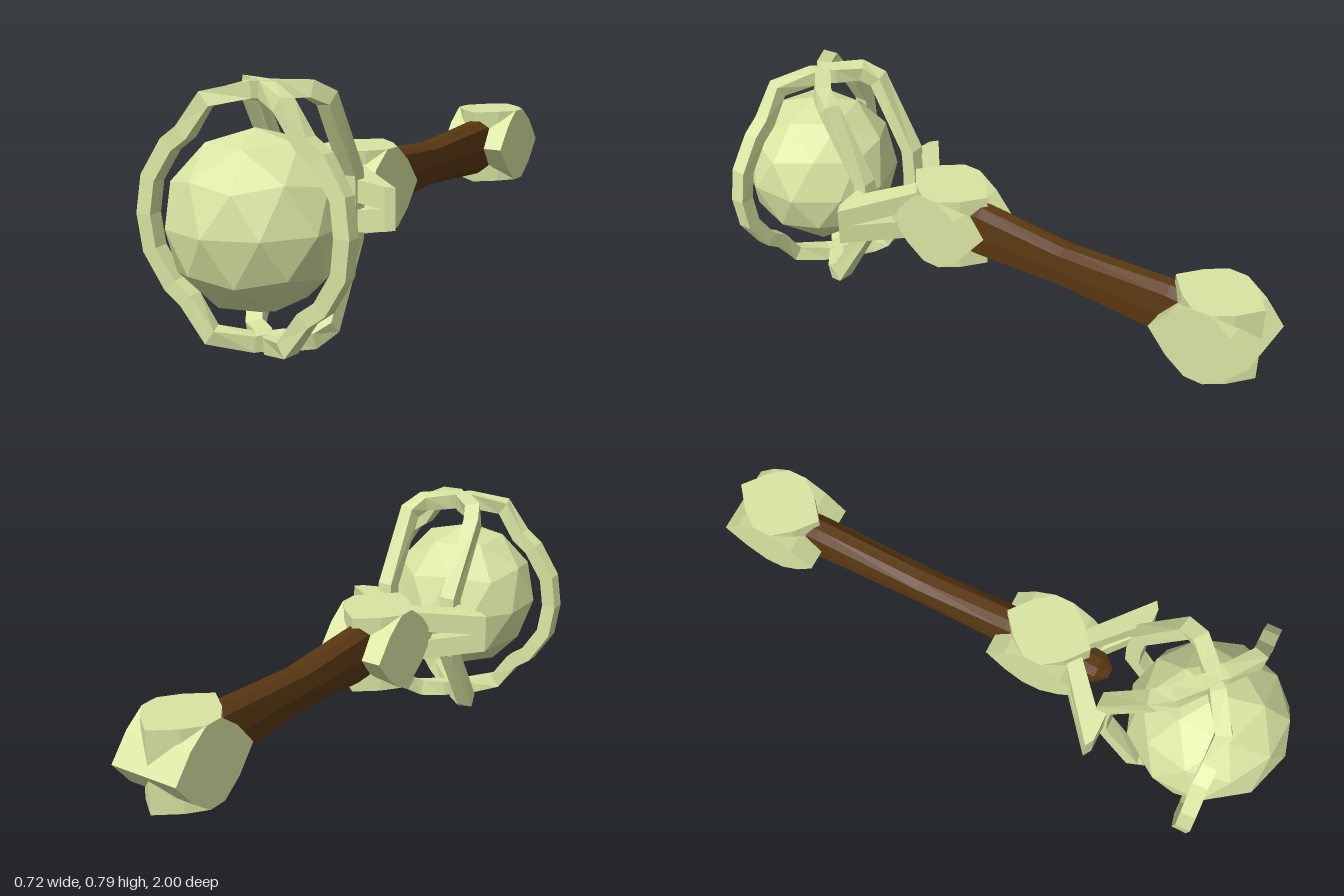
import * as THREE from 'three';

const MID = 0.4; // height of the long axis
const pale = new THREE.MeshStandardMaterial({ color: 0xd9e5a2, flatShading: true });
const brown = new THREE.MeshStandardMaterial({ color: 0x5a3812, flatShading: true });

function add(parent, name, geometry, material) {
  const mesh = new THREE.Mesh(geometry, material);
  mesh.name = name;
  parent.add(mesh);
  return mesh;
}

// Skin over equal-sized rings of points, each running counter-clockwise about the path
function loft(rings, closed) {
  const n = rings[0].length, index = [];
  const spans = closed ? rings.length : rings.length - 1;
  for (let i = 0; i < spans; i++) {
    const j = (i + 1) % rings.length;
    for (let k = 0; k < n; k++) {
      const m = (k + 1) % n;
      const a = i * n + k, b = i * n + m, c = j * n + m, d = j * n + k;
      index.push(a, b, c, a, c, d);
    }
  }
  if (!closed) {
    const last = (rings.length - 1) * n;
    for (let k = 1; k < n - 1; k++) index.push(0, k + 1, k, last, last + k, last + k + 1);
  }
  const g = new THREE.BufferGeometry().setFromPoints(rings.flat());
  g.setIndex(index);
  g.computeVertexNormals();
  return g;
}

// Closed square-section hoop from one quarter (x >= 0, upper half);
// outward(p) gives the direction its outer face should look
function hoop(quarter, half, outward) {
  const q = quarter.map(p => new THREE.Vector3(...p));
  const flipY = q.slice(0, -1).reverse().map(p => new THREE.Vector3(p.x, 2 * MID - p.y, p.z));
  const right = [...q, ...flipY];
  const left = right.slice(1, -1).reverse().map(p => new THREE.Vector3(-p.x, p.y, p.z));
  const path = [...right, ...left], N = path.length;
  const rings = path.map((p, i) => {
    const before = p.clone().sub(path[(i + N - 1) % N]).normalize();
    const after = path[(i + 1) % N].clone().sub(p).normalize();
    const t = before.add(after).normalize();
    const n = outward(p);
    n.addScaledVector(t, -n.dot(t)).normalize();
    const b = t.clone().cross(n);
    return [[1, 1], [-1, 1], [-1, -1], [1, -1]].map(([u, v]) =>
      p.clone().addScaledVector(n, u * half).addScaledVector(b, v * half));
  });
  return loft(rings, true);
}

// Pointed, almond-like prism: length along shape x, width along shape y
function almond(L, W, depth) {
  const upper = [[L, 0], [0.6 * L, 0.62 * W], [0.2 * L, W], [-0.2 * L, W], [-0.6 * L, 0.62 * W]];
  const pts = [...upper, ...upper.map(([x, y]) => [-x, -y])].map(p => new THREE.Vector2(...p));
  const g = new THREE.ExtrudeGeometry(new THREE.Shape(pts), { depth, bevelEnabled: false });
  return g.translate(0, 0, -depth / 2).rotateY(-Math.PI / 2);
}

// Knob made of two almond prisms crossing at right angles
function knob(name, z) {
  const group = new THREE.Group();
  group.name = name;
  add(group, 'uprightPrism', almond(0.167, 0.13, 0.236), pale);
  add(group, 'flatPrism', almond(0.148, 0.118, 0.262).rotateZ(Math.PI / 2), pale);
  group.position.set(0, MID, z);
  return group;
}

// Bent prong from the front knob out to a tip and back to the cage
function prong(side, up) {
  const outline = [[0.02, 0.24], [0.06, 0.25], [0.273, 0.42], [0.245, 0.437],
    [0.13, 0.437], [0.13, 0.4], [0.15, 0.4], [0.02, 0.285]];
  const shape = new THREE.Shape(outline.map(([x, z]) => new THREE.Vector2(side * x, z)));
  const g = new THREE.ExtrudeGeometry(shape, { depth: 0.068, bevelEnabled: false });
  g.rotateX(Math.PI / 2).translate(0, 0.034, 0);
  const pos = g.attributes.position;
  for (let i = 0; i < pos.count; i++) { // lean toward the middle at the tip
    const k = Math.abs(pos.getX(i)) / 0.273;
    pos.setY(i, pos.getY(i) + MID + up * (0.064 - 0.034 * k));
  }
  g.computeVertexNormals();
  return g;
}

export function createModel() {
  const model = new THREE.Group();
  model.name = 'orbMace';

  // Faceted orb with a corner straight up
  const orb = add(model, 'orb',
    new THREE.IcosahedronGeometry(0.267, 1).rotateZ(-Math.atan(2 / (1 + Math.sqrt(5)))), pale);
  orb.position.set(0, MID - 0.002, 0.733);

  // Waisted shaft: [z, half height, half width]
  const stations = [[-0.72, 0.095, 0.05], [-0.68, 0.097, 0.05], [-0.3, 0.072, 0.05],
    [0.02, 0.097, 0.05], [0.18, 0.085, 0.05], [0.345, 0.04, 0.05], [0.385, 0.012, 0.018]];
  const section = [[1, 0], [0.9, 0.75], [0.35, 1], [-0.35, 1], [-0.9, 0.75],
    [-1, 0], [-0.9, -0.75], [-0.35, -1], [0.35, -1], [0.9, -0.75]];
  add(model, 'shaft', loft(stations.map(([z, h, w]) =>
    section.map(([x, y]) => new THREE.Vector3(x * w, MID + y * h, z))), false), brown);

  model.add(knob('frontKnob', 0.157), knob('pommel', -0.833));

  // Front hoop of the cage, dipping back at top and bottom
  add(model, 'frontHoop', hoop([[0, 0.768, 0.69], [0.03, 0.768, 0.715], [0.13, 0.742, 0.785],
    [0.2, 0.645, 0.79], [0.255, 0.606, 0.79], [0.319, 0.505, 0.797], [0.333, 0.4, 0.802]],
  0.025, p => new THREE.Vector3(p.x, p.y - MID, 0)), pale);

  // Rear arms of the cage, joined at top and bottom
  add(model, 'rearArms', hoop([[0, 0.768, 0.69], [0.03, 0.768, 0.668], [0.1, 0.765, 0.61],
    [0.128, 0.735, 0.56], [0.128, 0.5, 0.425], [0.128, 0.4, 0.42]],
  0.026, p => new THREE.Vector3(0, p.y - MID, p.z - 0.7)), pale);

  // Two prongs on each side
  for (const side of [1, -1]) for (const up of [1, -1]) {
    const name = (side > 0 ? 'left' : 'right') + (up > 0 ? 'Upper' : 'Lower') + 'Prong';
    add(model, name, prong(side, up), pale);
  }
  return model;
}
